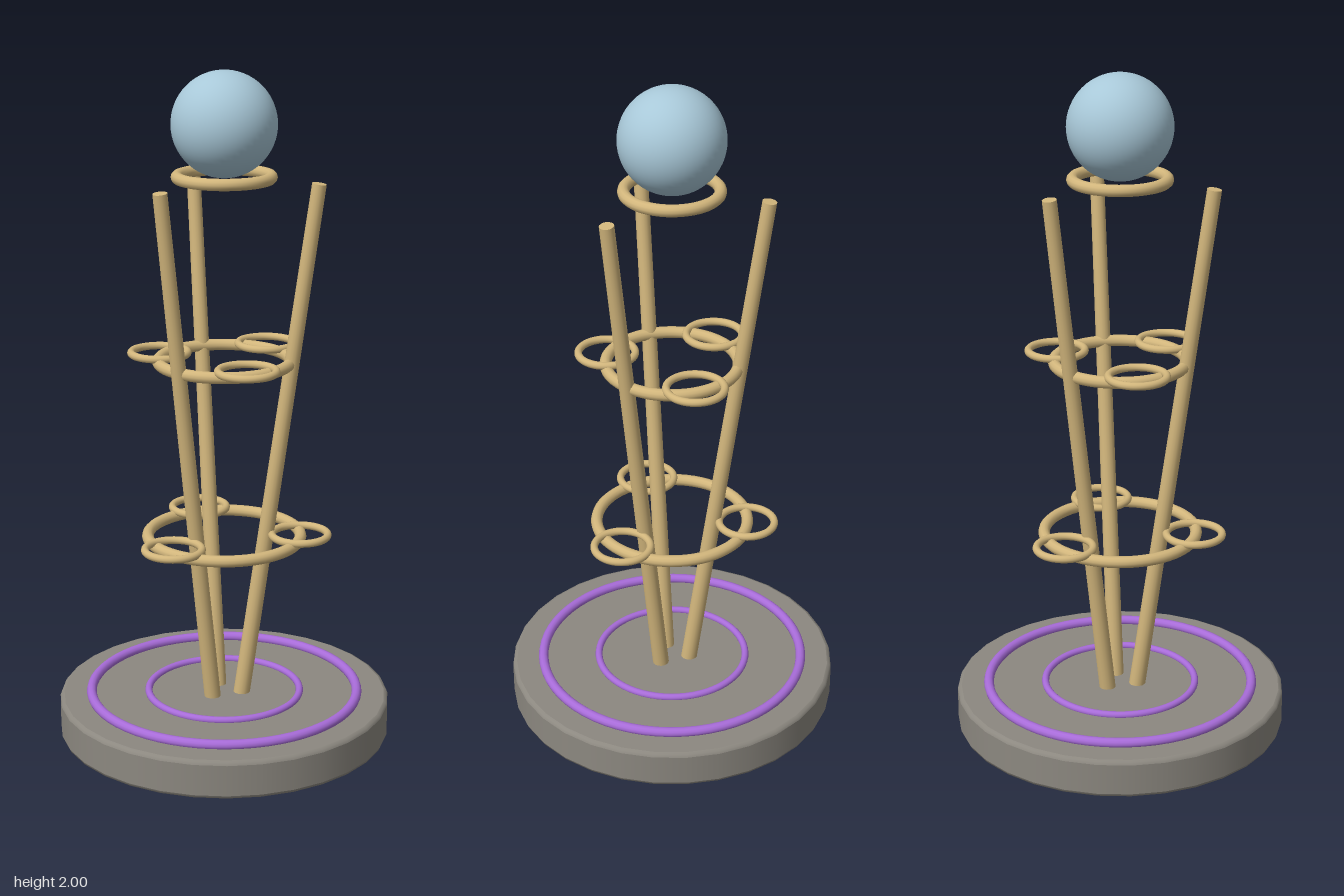
import * as THREE from 'three';

const material = (name, color) => {
  const m = new THREE.MeshStandardMaterial({ color });
  m.name = name;
  return m;
};

export function createModel() {
  const stone = material('warm grey stone', 0x8c8880);
  const brass = material('pale brass', 0xd2b67c);
  const purple = material('purple inlay', 0xa86cd9);
  const blue = material('pale blue', 0xa8c8d8);

  const model = new THREE.Group();
  model.name = 'orbTower';

  const add = (name, geometry, mat, x = 0, y = 0, z = 0) => {
    const mesh = new THREE.Mesh(geometry, mat);
    mesh.name = name;
    mesh.position.set(x, y, z);
    model.add(mesh);
    return mesh;
  };
  // Horizontal ring
  const ring = (name, radius, tube, mat, x, y, z) =>
    add(name, new THREE.TorusGeometry(radius, tube, 12, 64).rotateX(Math.PI / 2), mat, x, y, z);

  // Round base with softened rims; doubled points keep the flat faces crisp
  const R = 0.5, H = 0.118, b = 0.012;
  const profile = [
    [0, 0], [R - b, 0], [R - b, 0], [R - b * 0.3, b * 0.3], [R, b], [R, b],
    [R, H - b], [R, H - b], [R - b * 0.3, H - b * 0.3], [R - b, H], [R - b, H], [0, H],
  ].map(([x, y]) => new THREE.Vector2(x, y));
  add('base', new THREE.LatheGeometry(profile, 32), stone);

  // Inlaid rings on the base
  ring('outerBaseRing', 0.404, 0.015, purple, 0, 0.126, 0);
  ring('innerBaseRing', 0.23, 0.011, purple, 0, 0.122, 0);

  // Three struts leaning outwards
  const up = new THREE.Vector3(0, 1, 0);
  for (let i = 0; i < 3; i++) {
    const a = (i * Math.PI * 2) / 3;
    const at = (r, y) => new THREE.Vector3(Math.cos(a) * r, y, Math.sin(a) * r);
    const foot = at(0.052, 0.1), tip = at(0.273, 1.687);
    const axis = tip.clone().sub(foot);
    const strut = add('strut', new THREE.CylinderGeometry(0.021, 0.025, axis.length(), 16), brass);
    strut.position.copy(foot).lerp(tip, 0.5);
    strut.quaternion.setFromUnitVectors(up, axis.normalize());
  }

  // Two tiers: a large hoop carrying three small hoops, staggered by 60 degrees
  const tiers = [
    { name: 'lower', y: 0.62, radius: 0.228, turn: 0 },
    { name: 'upper', y: 1.158, radius: 0.193, turn: Math.PI / 3 },
  ];
  for (const { name, y, radius, turn } of tiers) {
    ring(name + 'Hoop', radius, 0.0175, brass, 0, y, 0);
    for (let i = 0; i < 3; i++) {
      const a = turn + (i * Math.PI * 2) / 3;
      ring(name + 'SmallHoop', 0.083, 0.0115, brass, Math.cos(a) * radius, y + 0.016, Math.sin(a) * radius);
    }
  }

  // Orb and its collar
  ring('orbCollar', 0.135, 0.0175, brass, 0, 1.698, 0);
  add('orb', new THREE.SphereGeometry(0.152, 48, 32), blue, 0, 1.848, 0);

  return model;
}
